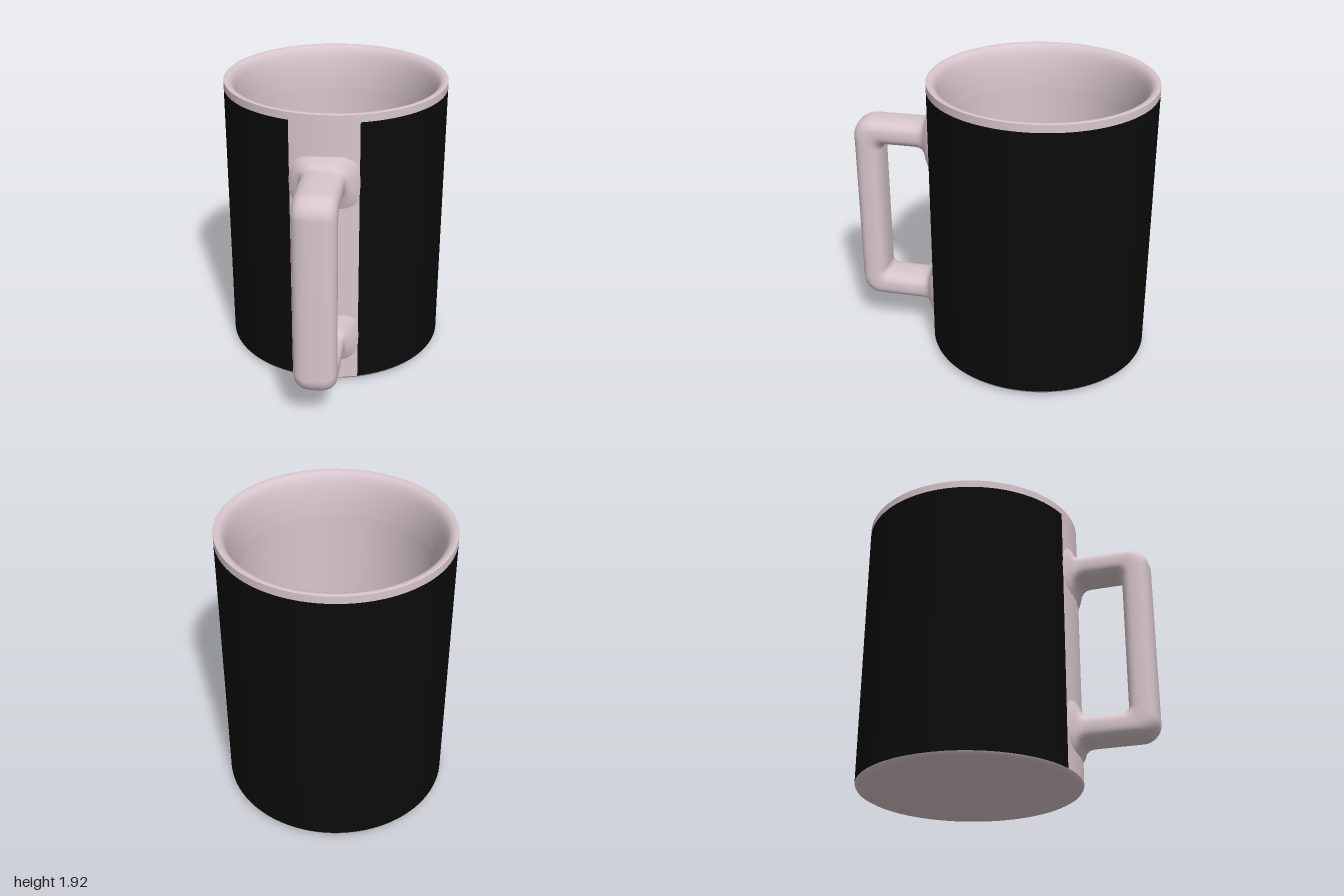
import * as THREE from 'three';

const ceramic = new THREE.MeshStandardMaterial({ color: 0xd8c6cd });
ceramic.name = 'pale ceramic';
const black = new THREE.MeshStandardMaterial({ color: 0x0b0b0b });
black.name = 'black wrap';

const R = 0.74, CUP_Z = -0.26, TOP = 1.925;
const WRAP_LOW = 0.04, WRAP_HIGH = 1.87;

// Turned piece of the cup; the profile runs outside-up, then inside-down
function turned(name, profile, material, start = 0, length = Math.PI * 2) {
  const points = profile.map(([r, y]) => new THREE.Vector2(r, y));
  const segments = Math.max(12, Math.round(length * 20));
  const mesh = new THREE.Mesh(new THREE.LatheGeometry(points, segments, start, length), material);
  mesh.name = name;
  mesh.position.z = CUP_Z;
  return mesh;
}

// Quarter arc in (z, y), as seen from the side
function arc(cz, cy, r, from, to, n = 8) {
  return Array.from({ length: n + 1 }, (_, i) => {
    const a = from + (to - from) * i / n;
    return [cz + r * Math.cos(a), cy + r * Math.sin(a)];
  });
}

// Squared handle: rounded sections spanning an outer and an inner outline
function handleGeometry() {
  const top = 1.587, bottom = 0.243, innerTop = 1.41, innerBottom = 0.422;
  const front = 1, innerFront = 0.812, ro = 0.12, ri = 0.045, sides = 36;
  // Flare into the wall: z, outer spread, inner spread, half width
  const flare = [
    [0.41, 0.17, 0.24, 0.25], [0.45, 0.11, 0.17, 0.22], [0.48, 0.065, 0.1, 0.185], [0.495, 0.03, 0.05, 0.16],
    [0.515, 0.01, 0.02, 0.145], [0.54, 0.002, 0.005, 0.138], [0.58, 0, 0, 0.1375], [0.72, 0, 0, 0.1375],
  ];
  const H = Math.PI / 2;
  const rows = flare.map(([z, o, i, w]) => ({ o: [z, top + o], i: [z, innerTop - i], w }));
  const corner = (outer, inner) => outer.forEach((o, k) => rows.push({ o, i: inner[k], w: 0.1375 }));
  corner(arc(front - ro, top - ro, ro, H, 0), arc(innerFront - ri, innerTop - ri, ri, H, 0));
  corner(arc(front - ro, bottom + ro, ro, 0, -H), arc(innerFront - ri, innerBottom + ri, ri, 0, -H));
  [...flare].reverse().forEach(([z, o, i, w]) =>
    rows.push({ o: [z, bottom - o], i: [z, innerBottom + i], w }));

  const soft = (v) => Math.sign(v) * Math.abs(v) ** 0.74;
  const position = [], index = [];
  rows.forEach(({ o, i, w }, row) => {
    for (let k = 0; k < sides; k++) {
      const t = k / sides * Math.PI * 2, s = soft(Math.sin(t));
      position.push(
        0.008 + w * soft(Math.cos(t)),
        (o[1] + i[1]) / 2 + s * (o[1] - i[1]) / 2,
        (o[0] + i[0]) / 2 + s * (o[0] - i[0]) / 2,
      );
      if (row < rows.length - 1) {
        const a = row * sides + k, b = row * sides + (k + 1) % sides;
        index.push(a, b, b + sides, a, b + sides, a + sides);
      }
    }
  });
  const geometry = new THREE.BufferGeometry();
  geometry.setAttribute('position', new THREE.Float32BufferAttribute(position, 3));
  geometry.setIndex(index);
  geometry.computeVertexNormals();
  return geometry;
}

export function createModel() {
  const mug = new THREE.Group();
  mug.name = 'mug';

  // Shallow domed underside with a rounded edge
  mug.add(turned('underside', [[0, 0], [0.3, 0.002], [0.55, 0.007], [0.68, 0.013],
    [0.715, 0.018], [0.732, 0.027], [R, WRAP_LOW]], ceramic));

  // Outer wall: black wrap with a bare strip behind the handle
  const wall = [[R, WRAP_LOW], [R, WRAP_HIGH]];
  const from = Math.asin(-0.21 / R), to = Math.asin(0.23 / R);
  mug.add(turned('bareStrip', wall, ceramic, from, to - from));
  mug.add(turned('blackWrap', wall, black, to, Math.PI * 2 - (to - from)));

  // Rim band, rounded lip and hollow inside
  mug.add(turned('rimBand', [[R, WRAP_HIGH], [R, TOP - 0.005]], ceramic));
  mug.add(turned('lip', [[R, TOP - 0.005], [0.735, TOP], [0.715, TOP - 0.002], [0.695, TOP - 0.012],
    [0.678, TOP - 0.035], [0.665, TOP - 0.075], [0.652, TOP - 0.14], [0.643, TOP - 0.22], [0.64, TOP - 0.3]], ceramic));
  mug.add(turned('innerWall', [[0.64, TOP - 0.3], [0.64, 0.2]], ceramic));
  mug.add(turned('innerFloor', [[0.64, 0.2], [0.632, 0.165], [0.61, 0.138], [0.57, 0.122],
    [0.48, 0.112], [0, 0.105]], ceramic));

  const handle = new THREE.Mesh(handleGeometry(), ceramic);
  handle.name = 'handle';
  mug.add(handle);
  return mug;
}
